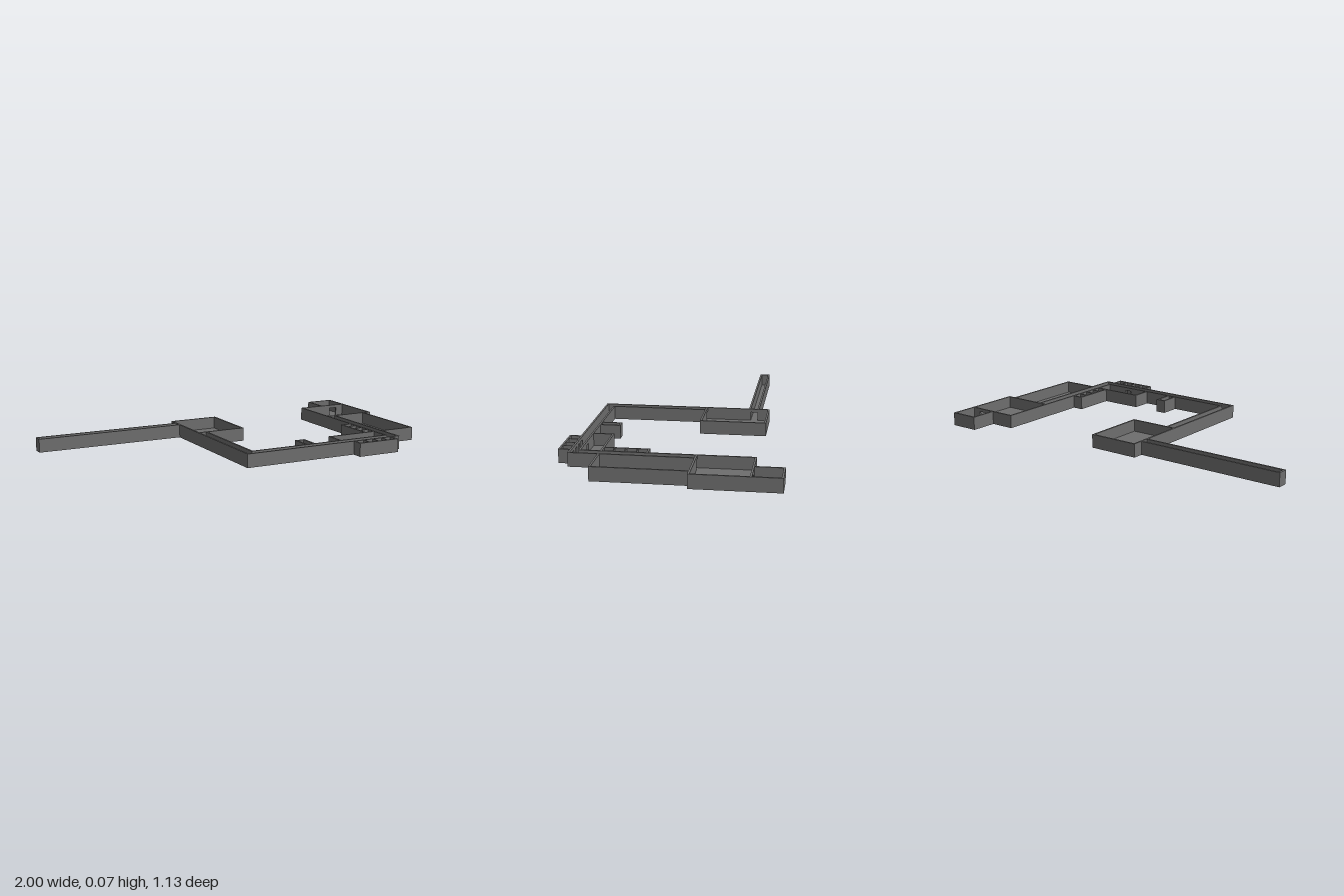
import * as THREE from 'three';

const H = 0.073, T = 0.01, FLOOR = 0.008, DOOR = 0.055;
const material = new THREE.MeshStandardMaterial({ color: 0x6e6e6e, flatShading: true });

function addBox(group, name, x0, x1, y0, y1, z0, z1) {
  const mesh = new THREE.Mesh(new THREE.BoxGeometry(x1 - x0, y1 - y0, z1 - z0), material);
  mesh.position.set((x0 + x1) / 2, (y0 + y1) / 2, (z0 + z1) / 2);
  mesh.name = name;
  group.add(mesh);
}

// Wall pieces along a..b as [start, end, bottom]: full height, or a lintel above each door
function wallPieces(a, b, doors) {
  const pieces = [];
  let start = a;
  for (const [d0, d1] of doors) {
    pieces.push([start, d0, 0], [d0, d1, DOOR]);
    start = d1;
  }
  pieces.push([start, b, 0]);
  return pieces;
}

// Open-topped room; each side takes a list of doors, or null for no wall
function room(name, x0, x1, z0, z1, { back = [], front = [], right = [], left = [] } = {}) {
  const g = new THREE.Group();
  g.name = name;
  addBox(g, 'floor', x0, x1, 0, FLOOR, z0, z1);
  const alongX = (label, z, doors) => doors && wallPieces(x0, x1, doors).forEach(
    ([a, b, y]) => addBox(g, label, a, b, y, H, z, z + T));
  const alongZ = (label, x, doors) => doors && wallPieces(z0, z1, doors).forEach(
    ([a, b, y]) => addBox(g, label, x, x + T, y, H, a, b));
  alongX('backWall', z0, back);
  alongX('frontWall', z1 - T, front);
  alongZ('rightWall', x0, right);
  alongZ('leftWall', x1 - T, left);
  return g;
}

export function createModel() {
  const model = new THREE.Group();
  model.name = 'floorPlan';
  const add = (...args) => model.add(room(...args));

  // Door positions along the cell rows
  const cells = [0, 1, 2, 3];
  const frontCells = cells.map(i => [0.483 + i * 0.0585, 0.513 + i * 0.0585]);
  const sideCells = cells.map(i => [0.133 + i * 0.0585, 0.163 + i * 0.0585]);

  // Entrance passage and first hall
  add('entranceCorridor', -1, -0.175, -0.362, -0.305, { left: null });
  add('entranceHall', -0.175, 0.107, -0.42, -0.062, {
    right: [[-0.352, -0.315]], front: [[-0.165, -0.127]],
  });

  // Corridors joined at open corners
  add('rightCorridor', -0.175, -0.117, -0.062, 0.508, { back: null, left: null });
  addBox(model, 'rightCorridorLeftWall', -0.127, -0.117, 0, H, -0.062, 0.463);
  add('frontCorridor', -0.117, 0.7, 0.453, 0.508, {
    right: null, left: null,
    back: [[0.21, 0.247], [0.535, 0.575]], front: frontCells,
  });
  add('leftCorridor', 0.7, 0.758, -0.12, 0.508, { back: null, right: null });
  const cornerWall = wallPieces(-0.12, 0.463, sideCells);
  for (const [a, b, y] of cornerWall) addBox(model, 'leftCorridorRightWall', 0.7, 0.71, y, H, a, b);

  // Side rooms
  add('alcove', 0.2, 0.257, 0.345, 0.453, { front: null });
  add('sideRoom', 0.41, 0.7, 0.345, 0.453, { front: null, left: null });
  add('longRoom', 0.758, 0.957, -0.12, 0.357, { back: null, right: null });
  add('greatRoom', 0.7, 1, -0.42, -0.12, {
    front: [[0.71, 0.748]], back: [[0.9, 0.945]],
  });
  add('backRoom', 0.84, 1, -0.567, -0.42, { front: null });

  // Cell rows with dividers
  const frontRow = room('frontCells', 0.465, 0.708, 0.508, 0.567, { back: null });
  const sideRow = room('sideCells', 0.64, 0.7, 0.115, 0.355, { left: null });
  for (const i of cells.slice(1)) {
    const x = 0.467 + i * 0.0585, z = 0.115 + i * 0.0585;
    addBox(frontRow, 'divider', x, x + T / 2, 0, H, 0.508, 0.567);
    addBox(sideRow, 'divider', 0.64, 0.7, 0, H, z, z + T / 2);
  }
  model.add(frontRow, sideRow);
  return model;
}
